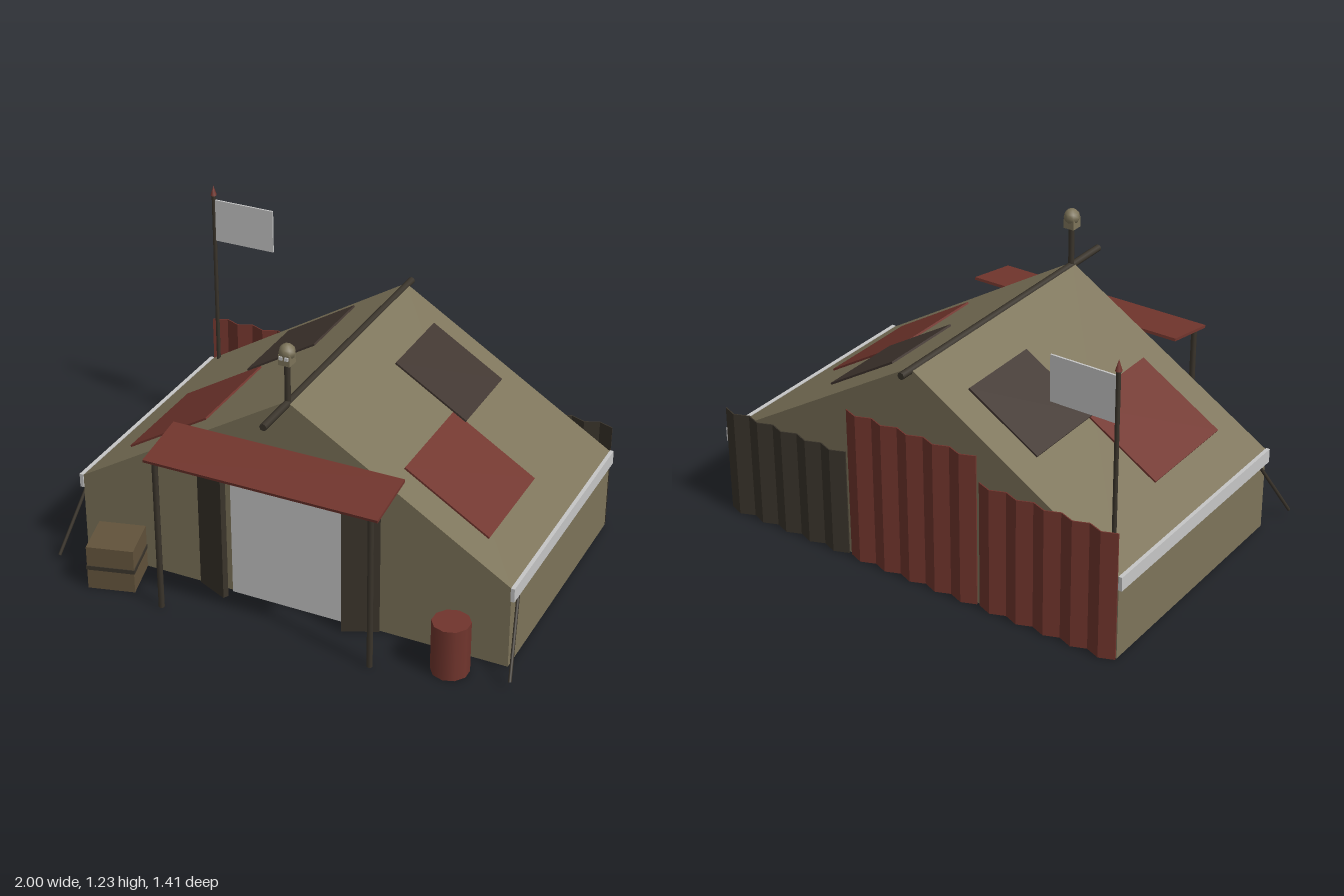
import * as THREE from 'three';

const mat = (name, color, double = false) => {
  const m = new THREE.MeshStandardMaterial({ color });
  m.name = name;
  if (double) m.side = THREE.DoubleSide;
  return m;
};

export function createModel() {
  const model = new THREE.Group();
  model.name = 'tentHut';

  const canvas = mat('canvas tan', 0x7d745a);
  const red = mat('rust red', 0x71352d);
  const dark = mat('dark patch brown', 0x40352f);
  const wood = mat('dark wood', 0x3a342b);
  const cloth = mat('pale cloth', 0xc6c6c6);
  const crateWood = mat('crate brown', 0x62533b);

  const add = (name, geo, material, x = 0, y = 0, z = 0, parent = model) => {
    const mesh = new THREE.Mesh(geo, material);
    mesh.name = name;
    mesh.position.set(x, y, z);
    parent.add(mesh);
    return mesh;
  };
  const box = (name, w, h, d, material, x, y, z, parent) =>
    add(name, new THREE.BoxGeometry(w, h, d), material, x, y, z, parent);
  // round pole between two points
  const pole = (name, a, b, r, material) => {
    const p = new THREE.Vector3(...a), q = new THREE.Vector3(...b);
    const dir = q.clone().sub(p);
    const mesh = add(name, new THREE.CylinderGeometry(r, r, dir.length(), 8), material);
    mesh.position.copy(p).add(q).multiplyScalar(0.5);
    mesh.quaternion.setFromUnitVectors(new THREE.Vector3(0, 1, 0), dir.normalize());
    return mesh;
  };

  // Tent body: gabled prism
  const W = 0.935, EAVE = 0.362, RIDGE = 0.937, BACK = -0.65, FRONT = 0.455;
  const gable = new THREE.Shape([[-W, 0], [W, 0], [W, EAVE], [0, RIDGE], [-W, EAVE]]
    .map(p => new THREE.Vector2(...p)));
  add('tentBody', new THREE.ExtrudeGeometry(gable, { depth: FRONT - BACK, bevelEnabled: false }),
    canvas, 0, 0, BACK);
  pole('ridgePole', [0, 0.926, -0.705], [0, 0.926, 0.65], 0.015, wood);

  // Mirrored parts
  const slope = Math.atan2(RIDGE - EAVE, W);
  for (const s of [-1, 1]) {
    box('eaveStrip', 0.016, 0.06, 1.112, cloth, s * 0.942, 0.336, -0.096);
    box('darkRoofPatch', 0.364, 0.008, 0.38, dark, s * 0.335, 0.753, -0.335).rotation.z = -s * slope;
    box('redRoofPatch', 0.417, 0.008, 0.475, red, s * 0.608, 0.573, 0.082).rotation.z = -s * slope;
    pole('guyRope', [s * 0.943, 0.308, 0.4], [s * 0.993, 0.032, 0.583], 0.007, wood);
    pole('awningPost', [s * 0.457, 0, 0.68], [s * 0.457, 0.678, 0.68], 0.0125, wood);
    // door flap folded outwards, hinged on its outer edge
    box('doorFlap', 0.15, 0.595, 0.025, wood, s * 0.325, 0.2975, 0.482).rotation.y = s * 0.42;
  }

  // Door and awning
  box('door', 0.5, 0.605, 0.012, cloth, 0, 0.3025, 0.459);
  box('awning', 0.99, 0.012, 0.248, red, 0, 0.701, 0.582).rotation.x = 0.17;

  // Corrugated sheets along the back wall
  const sheet = (x0, x1, height, material) => {
    const n = 10, t = 0.005, outer = [], inner = [];
    for (let i = 0; i <= n; i++) {
      const x = x0 + (x1 - x0) * i / n, z = i % 2 ? 0.68 : 0.656;
      outer.push(new THREE.Vector2(x, z + t));
      inner.unshift(new THREE.Vector2(x, z));
    }
    const geo = new THREE.ExtrudeGeometry(new THREE.Shape([...outer, ...inner]),
      { depth: height, bevelEnabled: false });
    geo.rotateX(-Math.PI / 2);
    add('corrugatedSheet', geo, material);
  };
  sheet(-W, -0.32, 0.555, red);
  sheet(-0.307, 0.307, 0.665, red);
  sheet(0.32, W, 0.47, wood);

  // Skull ornament on a post at the front of the ridge
  pole('skullPost', [0, 0.92, 0.445], [0, 1.1, 0.445], 0.0125, wood);
  const skull = new THREE.Group();
  skull.name = 'skull';
  skull.position.set(0, 1.145, 0.445);
  model.add(skull);
  add('cranium', new THREE.SphereGeometry(0.034, 8, 6), canvas, 0, 0, 0, skull);
  box('jaw', 0.048, 0.045, 0.05, canvas, 0, -0.026, 0.002, skull);
  for (const s of [-1, 1]) box('eye', 0.014, 0.014, 0.006, cloth, s * 0.012, -0.016, 0.031, skull);

  // Flag
  pole('flagPole', [-0.885, 0.02, -0.61], [-0.885, 1.19, -0.61], 0.009, wood);
  add('flagTip', new THREE.ConeGeometry(0.014, 0.045, 8), red, -0.885, 1.205, -0.61);
  box('flag', 0.275, 0.19, 0.008, cloth, -0.74, 1.067, -0.61);

  // Barrel
  add('barrel', new THREE.CylinderGeometry(0.077, 0.077, 0.225, 10), red, 0.742, 0.1125, 0.565);

  // Crate with a dark band
  const crate = new THREE.Group();
  crate.name = 'crate';
  crate.position.set(-0.72, 0, 0.575);
  crate.rotation.y = 0.26;
  model.add(crate);
  box('crateBox', 0.195, 0.195, 0.195, crateWood, 0, 0.0975, 0, crate);
  box('crateBand', 0.201, 0.018, 0.201, wood, 0, 0.098, 0, crate);

  return model;
}
